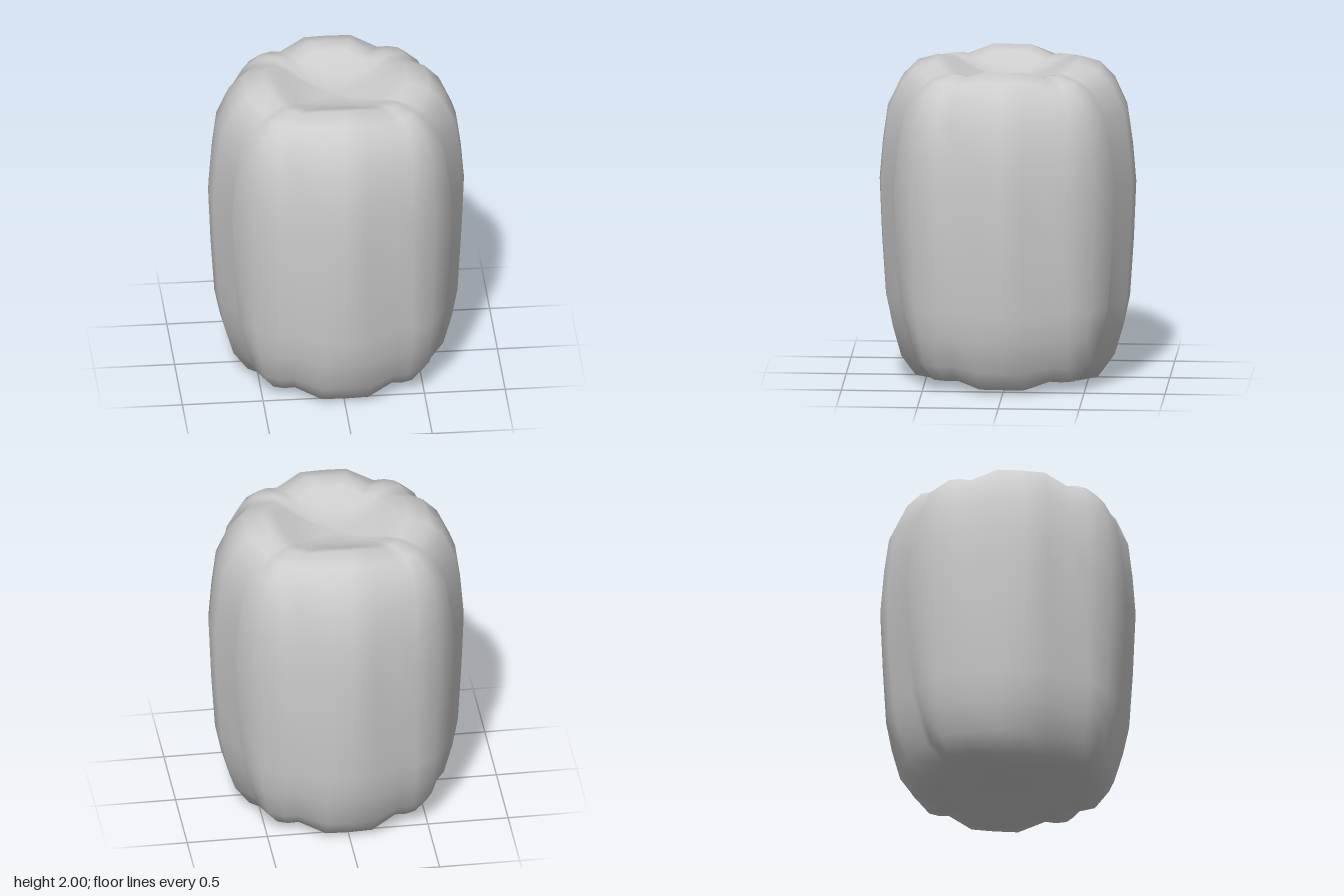
import * as THREE from 'three';
import { mergeVertices } from 'three/addons/utils/BufferGeometryUtils.js';

// One eighth of the cross-section, from main lobe ridge to diagonal lobe ridge:
// [x, z] at the waist, [x, z] at the rim, and how far the rim sinks there.
const OCTANT = [
  { waist: [0.793, 0], rim: [0.44, 0], sink: 0 },
  { waist: [0.775, 0.14], rim: [0.435, 0.12], sink: 0 },
  { waist: [0.675, 0.295], rim: [0.36, 0.25], sink: 0.05 },
  { waist: [0.68, 0.415], rim: [0.345, 0.295], sink: 0.035 },
  { waist: [0.565, 0.565], rim: [0.335, 0.335], sink: 0.035 },
];

// Rows from the hollow underside to the hollow top:
// [main lobe radius, height, blend from waist to rim shape, rim sink factor]
const ROWS = [
  [0, 0.13, 1, 0], [0.15, 0.115, 1, 0.1], [0.27, 0.075, 1, 0.4],
  [0.36, 0.025, 1, 0.8], [0.44, 0, 1, 1], [0.57, 0.03, 0.8, 0.8],
  [0.66, 0.15, 0.55, 0.4], [0.715, 0.34, 0.35, 0.1], [0.752, 0.52, 0.15, 0],
  [0.775, 0.88, 0, 0], [0.79, 1.24, 0, 0], [0.77, 1.48, 0.08, 0],
  [0.74, 1.7, 0.25, 0.1], [0.66, 1.87, 0.5, 0.4], [0.57, 1.96, 0.8, 0.8],
  [0.44, 2, 1, 1], [0.36, 1.975, 1, 0.8], [0.27, 1.925, 1, 0.4],
  [0.15, 1.885, 1, 0.1], [0, 1.87, 1, 0],
];

// Mirror the octant into a quarter, then turn it four times
function ring([radius, height, blend, sinkFactor]) {
  const quarter = OCTANT.map(({ waist, rim, sink }) => {
    const [x, z] = [0, 1].map((k) =>
      radius * THREE.MathUtils.lerp(waist[k] / 0.79, rim[k] / 0.44, blend));
    const drop = sink * sinkFactor * (height > 1 ? -1 : 1);
    return [x, height + drop, z];
  });
  for (let i = 3; i > 0; i--) {
    const [x, y, z] = quarter[i];
    quarter.push([z, y, x]);
  }
  const points = [];
  for (let q = 0; q < 4; q++) {
    const c = [1, 0, -1, 0][q], s = [0, 1, 0, -1][q];
    for (const [x, y, z] of quarter) points.push([x * c - z * s, y, x * s + z * c]);
  }
  return points;
}

// Join neighbouring rings into a closed smooth skin; the end rings are single points
function loftRings(rings) {
  const n = rings[0].length;
  const index = [];
  for (let r = 0; r < rings.length - 1; r++) {
    for (let i = 0; i < n; i++) {
      const a = r * n + i, b = r * n + ((i + 1) % n);
      if (r < rings.length - 2) index.push(a, a + n, b + n);
      if (r > 0) index.push(a, b + n, b);
    }
  }
  let geometry = new THREE.BufferGeometry();
  geometry.setAttribute('position', new THREE.Float32BufferAttribute(rings.flat(2), 3));
  geometry.setIndex(index);
  geometry = mergeVertices(geometry, 1e-4);
  geometry.computeVertexNormals();
  return geometry;
}

export function createModel() {
  const group = new THREE.Group();
  group.name = 'lobedGourd';

  const lightGrey = new THREE.MeshStandardMaterial({ color: 0xcccccc });
  lightGrey.name = 'light grey';

  // Eight-lobed body with a shallow dimple at each end
  const body = new THREE.Mesh(loftRings(ROWS.map(ring)), lightGrey);
  body.name = 'lobedBody';
  group.add(body);

  return group;
}
